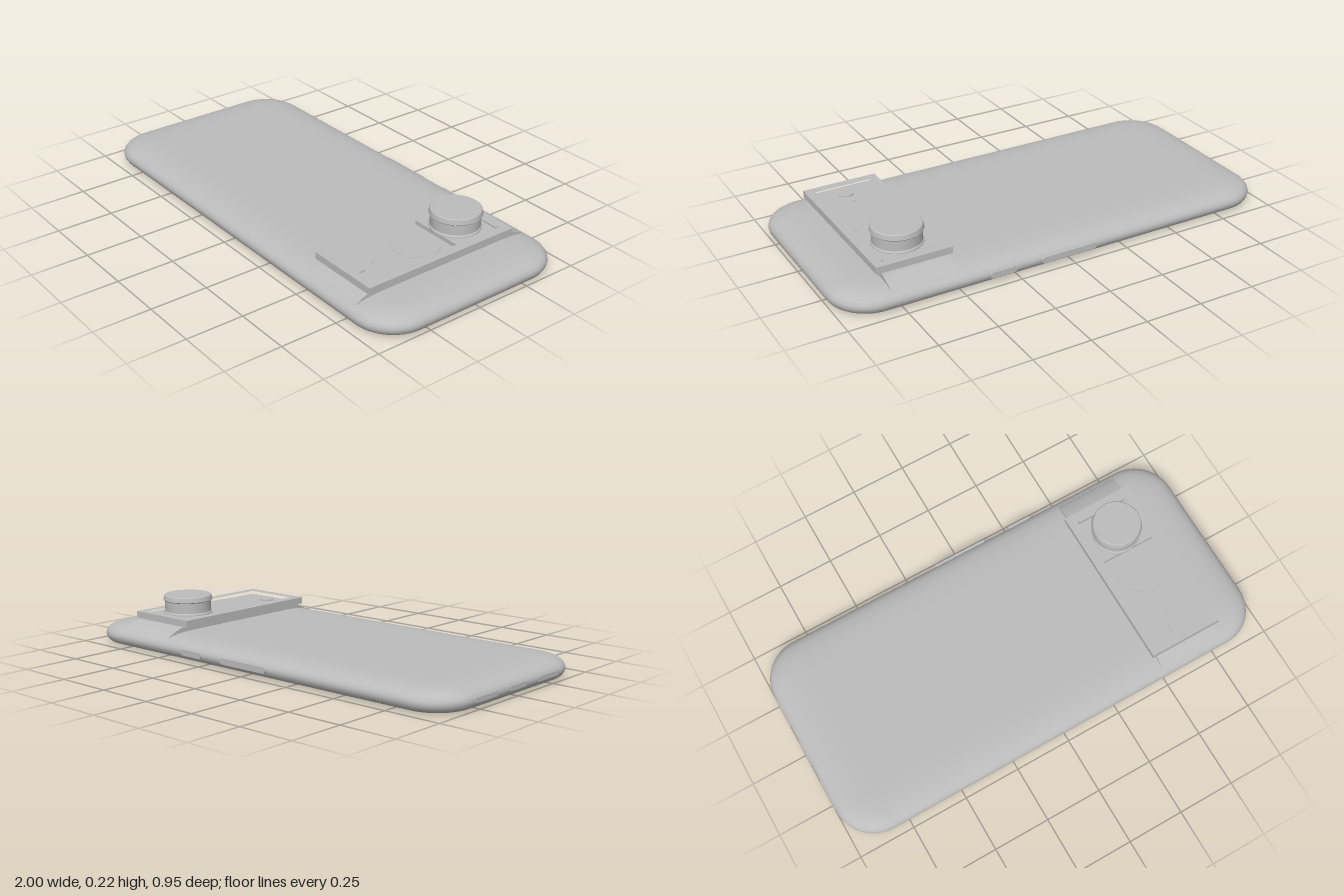
import * as THREE from 'three';
import { toCreasedNormals } from 'three/addons/utils/BufferGeometryUtils.js';

const grey = new THREE.MeshStandardMaterial({ color: 0xbcbcbc });
grey.name = 'satin grey';

function add(parent, name, geometry, x = 0, y = 0, z = 0) {
  const mesh = new THREE.Mesh(geometry, grey);
  mesh.name = name;
  mesh.position.set(x, y, z);
  parent.add(mesh);
  return mesh;
}

// Rounded-rectangle loops stacked along an [inset, y] edge profile, capped at both ends
function bodyGeometry(halfX, halfZ, radius, profile, steps = 16) {
  const pos = [], idx = [], n = 4 * (steps + 1);
  for (const [inset, y] of profile) {
    for (let q = 0; q < 4; q++) {
      const sx = q === 0 || q === 3 ? 1 : -1, sz = q < 2 ? 1 : -1;
      for (let s = 0; s <= steps; s++) {
        const a = (q + s / steps) * Math.PI / 2, r = radius - inset;
        pos.push(sx * (halfX - radius) + r * Math.cos(a), y, sz * (halfZ - radius) + r * Math.sin(a));
      }
    }
  }
  const rows = profile.length, bottom = rows * n, top = bottom + 1;
  pos.push(0, profile[0][1], 0, 0, profile[rows - 1][1], 0);
  for (let j = 0; j < n; j++) {
    const k = (j + 1) % n;
    for (let i = 0; i < rows - 1; i++) {
      const a = i * n + j, b = i * n + k;
      idx.push(a, a + n, b, b, a + n, b + n);
    }
    idx.push(bottom, j, k, top, (rows - 1) * n + k, (rows - 1) * n + j);
  }
  const g = new THREE.BufferGeometry();
  g.setAttribute('position', new THREE.Float32BufferAttribute(pos, 3));
  g.setIndex(idx);
  return toCreasedNormals(g, 0.55);
}

function rectPath(Type, x0, x1, z0, z1) {
  return new Type([[x0, z0], [x1, z0], [x1, z1], [x0, z1]].map(([x, z]) => new THREE.Vector2(x, -z)));
}

// Stadium-shaped plate lying in the xy plane, extruded along z and centred
function pill(width, height, depth) {
  const r = height / 2, s = new THREE.Shape();
  s.absarc(width / 2 - r, 0, r, -Math.PI / 2, Math.PI / 2);
  s.absarc(r - width / 2, 0, r, Math.PI / 2, Math.PI * 1.5);
  return new THREE.ExtrudeGeometry(s, { depth, bevelEnabled: false, curveSegments: 10 }).translate(0, 0, -depth / 2);
}

function lathe(points) {
  return toCreasedNormals(new THREE.LatheGeometry(points.map(p => new THREE.Vector2(...p)), 56), 0.5);
}

export function createModel() {
  const model = new THREE.Group();
  model.name = 'phoneWithSlidingLens';

  // Case with a flat underside, rounded rim and softly crowned back
  add(model, 'body', bodyGeometry(1, 0.47, 0.18, [
    [0.036, 0], [0.022, 0.005], [0.011, 0.013], [0.003, 0.025], [0, 0.038], [0.003, 0.05],
    [0.012, 0.062], [0.027, 0.072], [0.05, 0.08], [0.085, 0.086], [0.125, 0.0893], [0.165, 0.09]
  ]));

  // Side buttons
  for (const [name, x, width] of [['longButton', 0.015, 0.26], ['shortButton', 0.32, 0.12]]) {
    add(model, name, pill(width, 0.026, 0.02), x, 0.039, -0.467);
  }

  // Port and speaker slots on the end
  for (const [name, z, width] of [['chargingPort', 0, 0.12], ['speakerSlot', 0.21, 0.15], ['speakerSlot', -0.21, 0.15]]) {
    add(model, name, pill(width, 0.02, 0.006), -0.998, 0.038, z).rotation.y = -Math.PI / 2;
  }

  // Curved saddle carrying the lens rail
  const arch = new THREE.Shape();
  arch.moveTo(-0.455, 0.055);
  arch.lineTo(0.455, 0.055);
  arch.quadraticCurveTo(0.445, 0.083, 0.36, 0.11);
  arch.lineTo(-0.36, 0.11);
  arch.quadraticCurveTo(-0.445, 0.083, -0.455, 0.055);
  const saddle = new THREE.ExtrudeGeometry(arch, { depth: 0.29, bevelEnabled: false, curveSegments: 12 });
  saddle.rotateY(Math.PI / 2);
  add(model, 'saddle', toCreasedNormals(saddle, 0.5), 0.5);

  // Open rail frame and its floor
  const rail = new THREE.Group();
  rail.name = 'lensRail';
  model.add(rail);
  const frame = rectPath(THREE.Shape, 0.48, 0.81, -0.35, 0.39);
  frame.holes.push(rectPath(THREE.Path, 0.52, 0.77, -0.32, 0.35));
  add(rail, 'railFrame', new THREE.ExtrudeGeometry(frame, { depth: 0.03, bevelEnabled: false }).rotateX(-Math.PI / 2), 0, 0.11, 0);
  add(rail, 'railFloor', new THREE.BoxGeometry(0.32, 0.006, 0.73), 0.645, 0.114, 0.02);

  // Camera window, flash and microphone on the rail floor
  add(rail, 'cameraWindow', new THREE.CylinderGeometry(0.1, 0.1, 0.003, 48), 0.645, 0.117, 0.02);
  add(rail, 'flash', new THREE.CylinderGeometry(0.032, 0.032, 0.006, 32), 0.645, 0.119, 0.317);
  add(rail, 'microphone', new THREE.CylinderGeometry(0.006, 0.006, 0.004, 16), 0.645, 0.118, 0.24);

  // Sliding carriage with a rib at its outer end
  add(rail, 'carriage', new THREE.BoxGeometry(0.25, 0.018, 0.21), 0.645, 0.126, -0.193);
  add(rail, 'carriageRib', new THREE.BoxGeometry(0.235, 0.022, 0.013), 0.645, 0.127, -0.31);

  // Lens barrel and cap
  const lens = new THREE.Group();
  lens.name = 'lens';
  lens.position.set(0.645, 0, -0.19);
  model.add(lens);
  add(lens, 'lensBarrel', lathe([[0, 0.13], [0.108, 0.13], [0.108, 0.139], [0.103, 0.145], [0.103, 0.195], [0, 0.195]]));
  add(lens, 'lensCap', lathe([[0, 0.191], [0.106, 0.191], [0.11, 0.195], [0.106, 0.214], [0.102, 0.218], [0, 0.218]]));

  return model;
}
